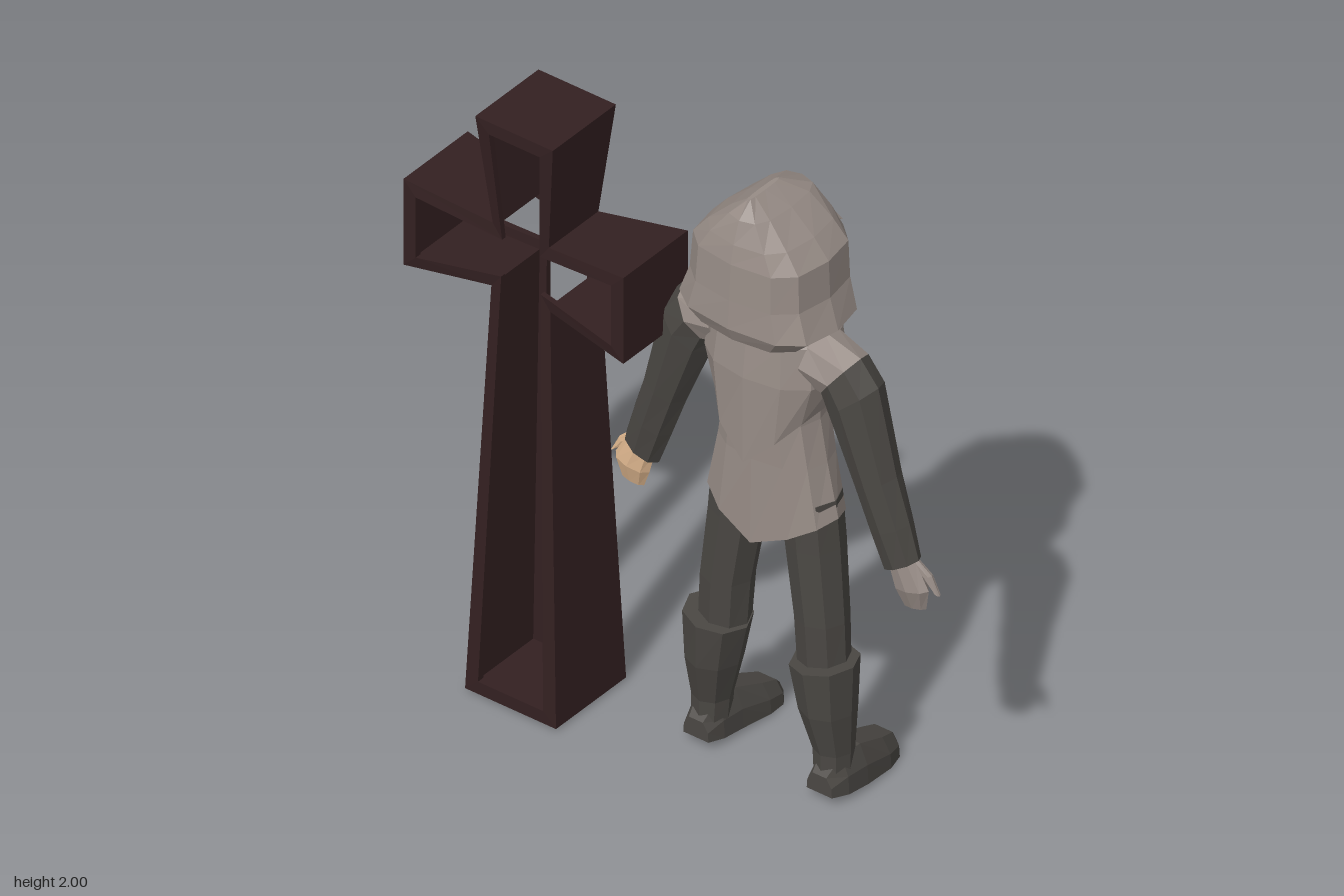
import * as THREE from 'three';
import { ConvexGeometry } from 'three/addons/geometries/ConvexGeometry.js';

const material = (name, color) => {
  const m = new THREE.MeshStandardMaterial({ color, flatShading: true, side: THREE.DoubleSide });
  m.name = name;
  return m;
};

// Capped flat-sided skin through rings of points
function loft(rings) {
  const pos = [], n = rings[0].length;
  const tri = (...pts) => pts.forEach((p) => pos.push(...p));
  for (let r = 0; r < rings.length - 1; r++) {
    for (let i = 0; i < n; i++) {
      const j = (i + 1) % n, lo = rings[r], up = rings[r + 1];
      tri(lo[i], up[i], lo[j]);
      tri(up[i], up[j], lo[j]);
    }
  }
  const centre = (ring) => [0, 1, 2].map((k) => ring.reduce((s, p) => s + p[k], 0) / n);
  const first = rings[0], last = rings[rings.length - 1];
  const c0 = centre(first), c1 = centre(last);
  for (let i = 0; i < n; i++) {
    const j = (i + 1) % n;
    tri(c0, first[i], first[j]);
    tri(c1, last[j], last[i]);
  }
  const g = new THREE.BufferGeometry();
  g.setAttribute('position', new THREE.Float32BufferAttribute(pos, 3));
  g.computeVertexNormals();
  return g;
}

// Oval ring about the y axis; tilt raises the outer (+side) edge
function ring(cx, y, cz, rx, rz, { n = 8, tilt = 0, side = 1, pow = 1, drop } = {}) {
  const soft = (v) => Math.sign(v) * Math.abs(v) ** pow;
  return Array.from({ length: n }, (_, i) => {
    const a = (i / n) * Math.PI * 2, c = Math.cos(a), s = Math.sin(a);
    return [cx + rx * soft(c), y + tilt * s * side + (drop ? drop(c, s) : 0), side * cz + rz * soft(s)];
  });
}

export function createModel() {
  const cloth = material('grey cloth', 0x978c86);
  const dark = material('dark cloth', 0x4a4743);
  const wood = material('dark red wood', 0x332021);
  const skin = material('skin', 0xdfb78f);
  const iron = material('iron', 0x3d3d3b);

  const model = new THREE.Group();
  const person = new THREE.Group();
  person.name = 'hoodedFigure';
  person.position.z = 0.27;
  model.add(person);
  const add = (name, geometry, mat, parent = person) => {
    const mesh = new THREE.Mesh(geometry, mat);
    mesh.name = name;
    parent.add(mesh);
    return mesh;
  };

  // Hood: [back x, front x, y, half width], bottom to top, front hollowed a little
  const hoodRows = [
    [-0.19, 0.14, 1.558, 0.195], [-0.212, 0.158, 1.607, 0.25], [-0.205, 0.168, 1.7, 0.215],
    [-0.198, 0.168, 1.82, 0.207], [-0.185, 0.155, 1.88, 0.155], [-0.16, 0.13, 1.95, 0.075], [-0.12, 0.02, 2.0, 0.008],
  ];
  add('hood', loft(hoodRows.map(([b, f, y, w], i) => {
    const r = ring((b + f) / 2, y, 0, (f - b) / 2, w, { n: 12, pow: 0.68 });
    if (i === 1 || i === 2) r[0][0] -= 0.02;
    return r;
  })), cloth);

  // Pointed brim over the face
  add('hoodBrim', new ConvexGeometry([
    [0.12, 1.955, 0], [0.195, 1.78, 0], [0.15, 1.79, 0], [0.155, 1.835, 0.125], [0.155, 1.835, -0.125],
    [0.1, 1.87, 0.12], [0.1, 1.87, -0.12],
  ].map((p) => new THREE.Vector3(...p))), cloth);

  // Lower tunic with points hanging at front and back
  const body = { n: 12, pow: 0.85 };
  add('tunic', loft([
    ring(0.012, 0.925, 0, 0.122, 0.22, { ...body, drop: (c, s) => -0.11 * (1 - Math.abs(s)) }),
    ring(0.014, 1.1, 0, 0.118, 0.18, body),
    ring(0.014, 1.24, 0, 0.122, 0.155, body),
    ring(0.014, 1.4, 0, 0.11, 0.15, body),
  ]), cloth);

  // Upper cape with a pointed hem, longer at the back
  add('cape', loft([
    ring(0.014, 1.29, 0, 0.157, 0.175, { ...body, drop: (c, s) => (c > 0 ? -0.075 : -0.18) * (1 - Math.abs(s)) }),
    ring(0.012, 1.4, 0, 0.155, 0.215, body),
    ring(0.012, 1.53, 0, 0.14, 0.2, body),
    ring(0, 1.59, 0, 0.1, 0.13, body),
  ]), cloth);

  // Pendant on the chest
  const pendant = new THREE.Group();
  pendant.name = 'pendant';
  person.add(pendant);
  add('pendantUpright', new THREE.BoxGeometry(0.02, 0.125, 0.028), iron, pendant).position.set(0.163, 1.5, -0.008);
  add('pendantBar', new THREE.BoxGeometry(0.018, 0.028, 0.094), iron, pendant).position.set(0.16, 1.535, -0.008);
  pendant.children.forEach((m) => { m.rotation.z = 0.1; });

  for (const side of [1, -1]) {
    const tag = side > 0 ? 'outer' : 'inner';
    const R = (cx, y, s, rx, rz, tilt = 0) => ring(cx, y, s, rx, rz, { side, tilt });

    // Arm, from wrist to shoulder
    const top = R(-0.005, 1.45, 0.256, 0.08, 0.057, 0.075);
    add(tag + 'Sleeve', loft([
      R(-0.005, 0.888, 0.463, 0.045, 0.057, 0.032),
      R(-0.005, 1.0, 0.425, 0.056, 0.063, 0.03),
      R(-0.005, 1.14, 0.376, 0.066, 0.066, 0.032),
      R(-0.005, 1.385, 0.298, 0.082, 0.078, 0.065),
      top,
    ]), dark);
    add(tag + 'Shoulder', loft([top, R(0, 1.475, 0.16, 0.095, 0.015, 0.085)]), cloth);

    // Hand and thumb
    const handMat = side > 0 ? cloth : skin;
    add(tag + 'Hand', loft([
      R(0, 0.755, 0.503, 0.016, 0.04, 0.006),
      R(-0.008, 0.82, 0.498, 0.03, 0.06, 0.012),
      R(-0.008, 0.895, 0.465, 0.03, 0.045, 0.02),
    ]), handMat);
    add(tag + 'Thumb', loft([
      R(0.008, 0.825, 0.575, 0.01, 0.01, -0.006),
      R(0.008, 0.87, 0.54, 0.015, 0.016, 0.006),
      R(0, 0.91, 0.49, 0.015, 0.02, 0.01),
    ]), handMat);

    // Leg and boot
    add(tag + 'Leg', loft([
      R(0.003, 0.4, 0.178, 0.075, 0.078),
      R(0.005, 0.58, 0.168, 0.08, 0.08),
      R(0.015, 0.82, 0.137, 0.088, 0.088),
      R(0.015, 0.98, 0.125, 0.088, 0.085),
    ]), dark);
    add(tag + 'BootShaft', loft([
      R(-0.005, 0.08, 0.218, 0.06, 0.057),
      R(-0.003, 0.15, 0.216, 0.062, 0.06),
      R(-0.012, 0.29, 0.202, 0.088, 0.084),
      R(-0.012, 0.443, 0.19, 0.102, 0.102, 0.014),
    ]), dark);
    // Foot sections along x: [x, half width, bottom, top, sideways centre]
    add(tag + 'Foot', loft([
      [-0.075, 0.045, 0.03, 0.09, 0.22], [-0.02, 0.062, 0.022, 0.14, 0.222], [0.06, 0.068, 0.016, 0.142, 0.222],
      [0.17, 0.072, 0.008, 0.1, 0.214], [0.235, 0.058, 0.002, 0.075, 0.207], [0.26, 0.035, 0.005, 0.05, 0.203],
    ].map(([x, w, b, t, s]) => [[w, b], [w * 0.95, (b + t) / 2], [w * 0.55, t], [-w * 0.55, t], [-w * 0.95, (b + t) / 2], [-w, b]]
      .map(([z, y]) => [x, y, side * s + z]))), dark);
  }

  // Hollow flared cross: half outlines mirrored, extruded across x
  const mirrored = (half) => [...half, ...half.map(([u, y]) => [-u, y]).reverse()].map(([u, y]) => new THREE.Vector2(u, y));
  const outer = [[0.162, 0.01], [0.105, 1.395], [0.392, 1.36], [0.392, 1.655], [0.1, 1.613], [0.138, 1.98]];
  const inner = [[0.116, 0.052], [0.07, 1.44], [0.348, 1.403], [0.348, 1.61], [0.067, 1.568], [0.09, 1.938]];
  const thin = outer.map(([u, y], i) => [u + (inner[i][0] - u) * 0.25, y + (inner[i][1] - y) * 0.25]);

  const cross = new THREE.Group();
  cross.name = 'standingCross';
  cross.rotation.y = Math.PI / 2;
  cross.position.set(-0.104, 0, -0.463);
  model.add(cross);
  // A thin wall between two wide rims leaves a channel inside
  for (const [name, from, to, hole] of [['backRim', -1, -0.85, inner], ['wall', -0.85, 0.85, thin], ['frontRim', 0.85, 1, inner]]) {
    const shape = new THREE.Shape(mirrored(outer));
    shape.holes.push(new THREE.Path(mirrored(hole)));
    const g = new THREE.ExtrudeGeometry(shape, { depth: to - from, bevelEnabled: false });
    g.translate(0, 0, from);
    // The depth flares toward each end
    const p = g.attributes.position;
    for (let i = 0; i < p.count; i++) {
      const y = p.getY(i), u = Math.abs(p.getX(i));
      const half = y < 1 ? 0.16 : y > 1.8 ? 0.144 : u > 0.3 ? 0.147 : 0.113;
      p.setZ(i, p.getZ(i) * half);
    }
    g.computeVertexNormals();
    add(name, g, wood, cross);
  }

  return model;
}
